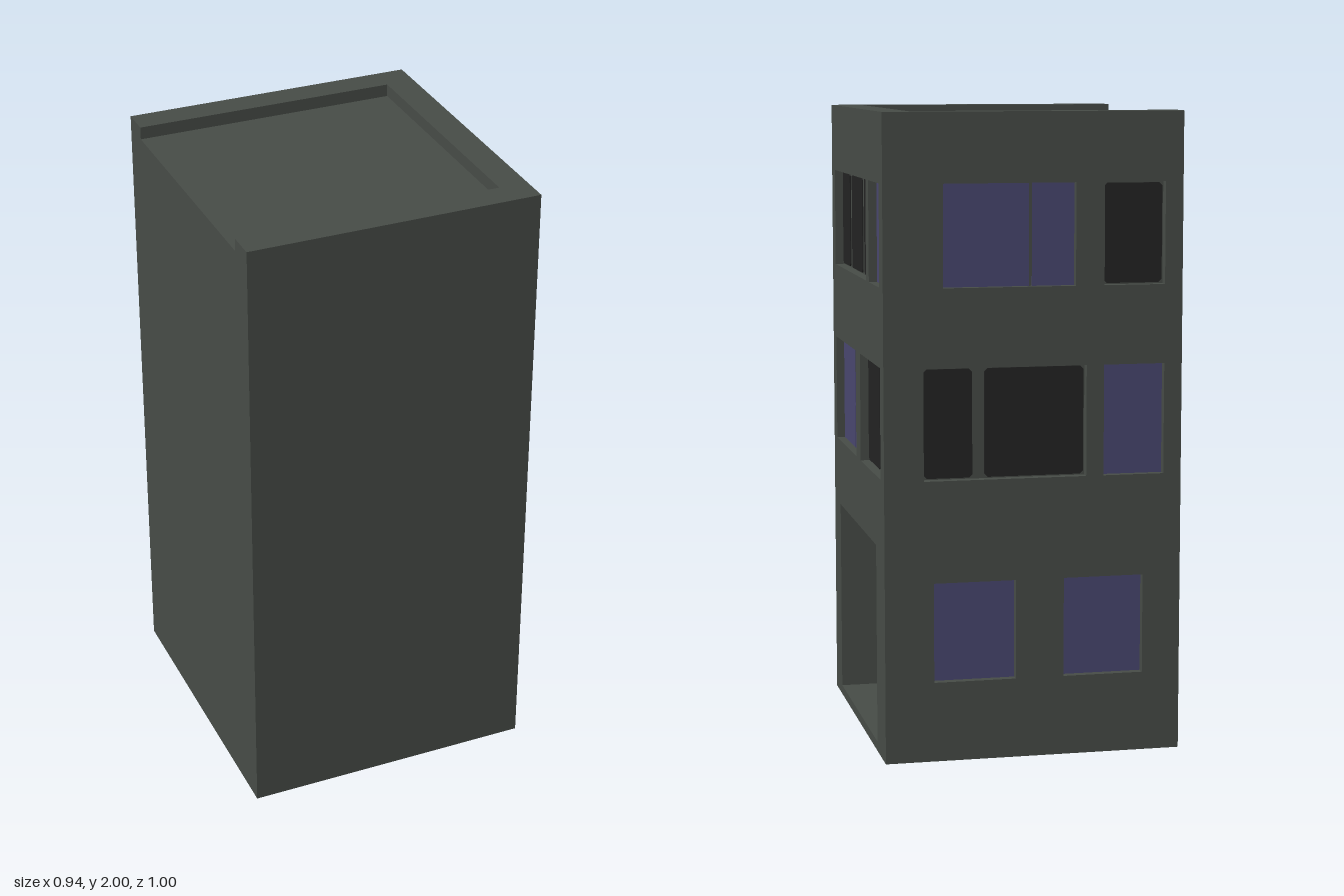
import * as THREE from 'three';

const W = 0.468, D = 0.5, ROOF = 1.96, REVEAL = 0.03;
const DOOR_DEPTH = 0.25, DOOR_REVEAL = 0.025;

const wallMat = new THREE.MeshStandardMaterial({ name: 'wall grey', color: 0x474c47 });
const glassMat = new THREE.MeshStandardMaterial({ name: 'violet glass', color: 0x494770 });
const darkMat = new THREE.MeshStandardMaterial({ name: 'dark pane', color: 0x232323 });

// Rectangle with optionally cut corners
function rect(u0, u1, y0, y1, c = 0) {
  const p = c
    ? [[u0 + c, y0], [u1 - c, y0], [u1, y0 + c], [u1, y1 - c], [u1 - c, y1], [u0 + c, y1], [u0, y1 - c], [u0, y0 + c]]
    : [[u0, y0], [u1, y0], [u1, y1], [u0, y1]];
  return new THREE.Shape(p.map(([x, y]) => new THREE.Vector2(x, y)));
}

// Flat slab lying between two depths, with openings
function slab(name, shape, holes, w0, w1, mat) {
  shape.holes.push(...holes);
  const geo = new THREE.ExtrudeGeometry(shape, { depth: w1 - w0, bevelEnabled: false });
  geo.translate(0, 0, w0);
  const mesh = new THREE.Mesh(geo, mat);
  mesh.name = name;
  return mesh;
}

function box(name, x0, x1, y0, y1, z0, z1, mat) {
  const mesh = new THREE.Mesh(new THREE.BoxGeometry(x1 - x0, y1 - y0, z1 - z0), mat);
  mesh.position.set((x0 + x1) / 2, (y0 + y1) / 2, (z0 + z1) / 2);
  mesh.name = name;
  return mesh;
}

// Wall with recessed windows; each window is [u0, u1, y0, y1, dark, mullions]
function facade(name, u0, u1, windows, extraHoles = []) {
  const g = new THREE.Group();
  g.name = name;
  const holes = windows.map(([a, b, c, d]) => rect(a, b, c, d));
  g.add(slab('facadeWall', rect(u0, u1, 0, ROOF), [...holes, ...extraHoles], -REVEAL, 0, wallMat));
  for (const [a, b, y0, y1, dark, mullions] of windows) {
    const edges = [a, ...mullions.flat(), b];
    const inset = dark ? 0.004 : 0;
    for (let i = 0; i < edges.length; i += 2) {
      const pane = rect(edges[i] + inset, edges[i + 1] - inset, y0 + inset, y1 - inset, dark ? 0.01 : 0);
      g.add(slab('windowPane', pane, [], -REVEAL, -REVEAL + 0.004, dark ? darkMat : glassMat));
    }
  }
  return g;
}

export function createModel() {
  const model = new THREE.Group();
  model.name = 'building';
  const TOP = [1.47, 1.785], MID = [0.88, 1.225], LOW = [0.25, 0.562];
  const porch = () => rect(-0.38, 0.345, 0.03, 0.66);

  // Entrance side
  const side = facade('entranceFacade', -D, D, [
    [-0.44, 0.19, ...TOP, true, [[-0.283, -0.25], [-0.034, -0.003]]],
    [0.243, 0.437, ...TOP, false, []],
    [-0.44, -0.03, ...MID, false, [[-0.21, -0.2]]],
    [0.057, 0.437, ...MID, true, [[0.278, 0.31]]],
  ], [porch()]);
  side.rotation.y = Math.PI / 2;
  side.position.x = W;
  model.add(side);

  // Porch recess and the wall around the door
  const coreU = D - REVEAL;
  side.add(slab('porchWalls', rect(-D, coreU, 0, ROOF), [porch()], -DOOR_DEPTH, -REVEAL, wallMat));
  side.add(slab('doorSurround', rect(-D, coreU, 0, ROOF), [rect(-0.068, 0.218, 0.03, 0.5)],
    -DOOR_DEPTH - DOOR_REVEAL, -DOOR_DEPTH, wallMat));

  // Door with handle plate and lock
  const doorW = -DOOR_DEPTH - DOOR_REVEAL;
  side.add(box('door', -0.068, 0.218, 0.03, 0.5, doorW - 0.005, doorW + 0.004, wallMat));
  side.add(box('handlePlate', 0.153, 0.187, 0.222, 0.28, doorW, doorW + 0.014, wallMat));
  for (const u of [0.163, 0.177]) {
    const knob = new THREE.Mesh(new THREE.CylinderGeometry(0.005, 0.005, 0.03, 10), wallMat);
    knob.name = 'doorKnob';
    knob.rotation.x = Math.PI / 2;
    knob.position.set(u, 0.258, doorW + 0.015);
    side.add(knob);
  }

  // Back wall
  const back = facade('backFacade', -W + REVEAL, W, [
    [-0.283, 0.13, ...TOP, false, [[-0.012, -0.002]]],
    [0.22, 0.412, ...TOP, true, []],
    [-0.345, 0.165, ...MID, true, [[-0.185, -0.155]]],
    [0.22, 0.412, ...MID, false, []],
    [-0.315, -0.057, ...LOW, false, []],
    [0.095, 0.348, ...LOW, false, []],
  ]);
  back.rotation.y = Math.PI;
  back.position.z = -D;
  model.add(back);

  // Main body
  model.add(box('mainBody', -W, W - DOOR_DEPTH - DOOR_REVEAL, 0, ROOF, -D + REVEAL, D, wallMat));

  // Roof parapet, open on one side
  const outline = [[-W, -D], [W, -D], [W, D], [-W, D], [-W, 0.408], [0.375, 0.408], [0.375, -0.408], [-W, -0.408]];
  const parapet = slab('roofParapet', new THREE.Shape(outline.map(([x, y]) => new THREE.Vector2(x, y))),
    [], 0, 2 - ROOF, wallMat);
  parapet.rotation.x = -Math.PI / 2;
  parapet.position.y = ROOF;
  model.add(parapet);
  return model;
}
